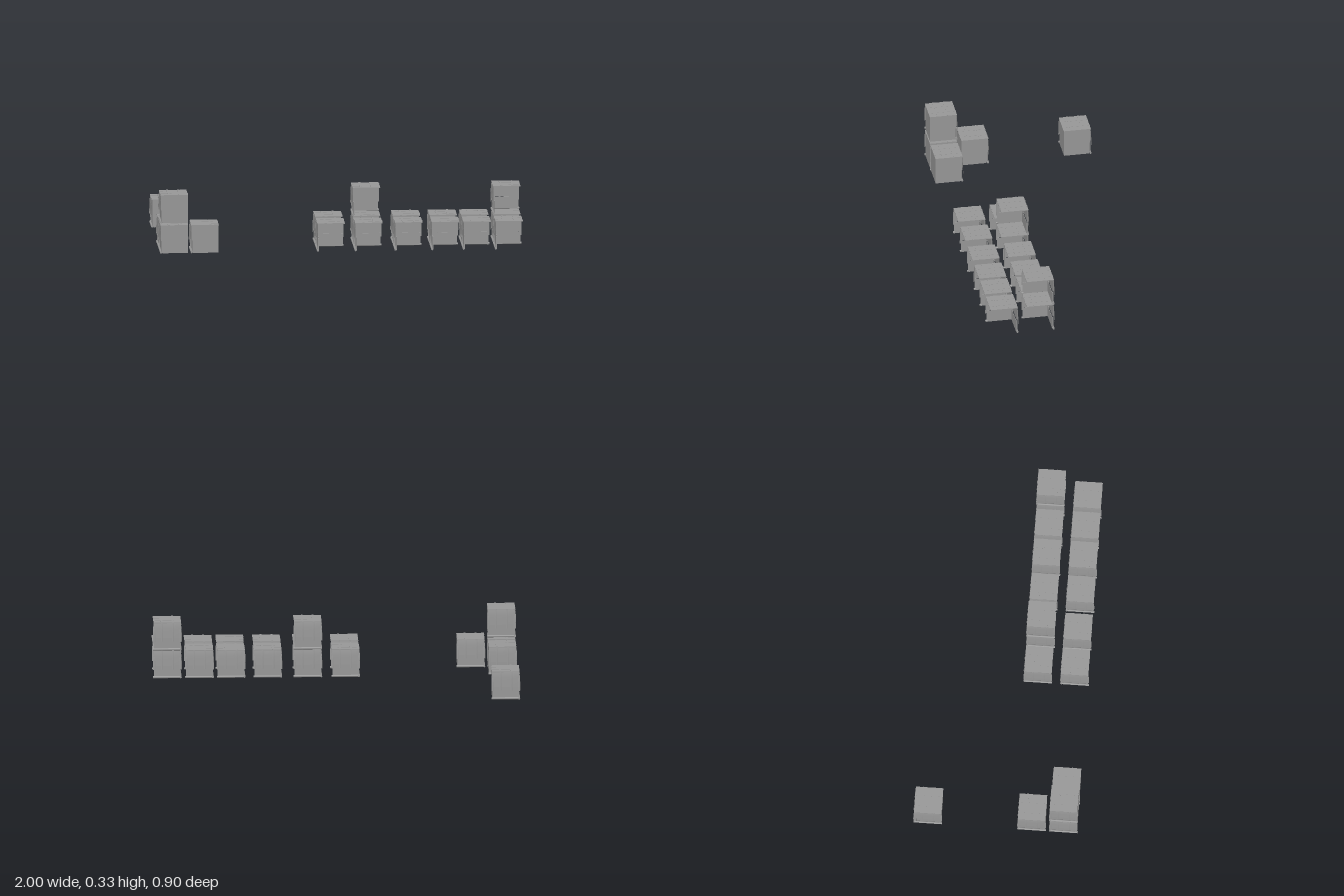
import * as THREE from 'three';

const material = new THREE.MeshStandardMaterial({ color: 0x989898, side: THREE.DoubleSide });
const H = 0.073; // half width of a crate
const TOP = 0.155; // height of the crate body
const HEM = 0.072; // height of the lower edge of the sheet
const INSET = 0.006; // depth of the recess below the sheet

function add(parent, name, geometry, x = 0, y = 0, z = 0) {
  const mesh = new THREE.Mesh(geometry, material);
  mesh.name = name;
  mesh.position.set(x, y, z);
  parent.add(mesh);
}

// Sheet hanging from the top edge, bulging a little and flaring to its hem
function hangingSheet(width, top, bottom, offset) {
  const g = new THREE.PlaneGeometry(width, top - bottom, 4, 5);
  const p = g.attributes.position;
  for (let i = 0; i < p.count; i++) {
    // 0 at the top edge, 1 at the hem
    const t = THREE.MathUtils.clamp(0.5 - p.getY(i) / (top - bottom), 0, 1);
    const across = p.getX(i) / (width / 2);
    const flare = 0.006 * Math.sqrt(t) * (1 - 0.25 * across * across);
    const spread = 0.95 + 0.05 * Math.min(1, t * 2);
    p.setXYZ(i, -p.getX(i) * spread, top - t * (top - bottom), -H - offset - flare);
  }
  g.computeVertexNormals();
  return g;
}

// Geometries shared by every crate
const wall = new THREE.BoxGeometry(2 * H, TOP - HEM, 0.002);
const post = new THREE.BoxGeometry(0.01, HEM, 0.003);
const lowerPanel = new THREE.BoxGeometry(2 * H - 0.01, HEM - 0.004, 0.002);
const sheet = hangingSheet(0.156, TOP + 0.002, HEM, 0);
const baseRail = new THREE.CylinderGeometry(0.006, 0.006, 0.156, 8).rotateZ(Math.PI / 2);
const strap = hangingSheet(0.011, TOP + 0.003, 0.052, 0.0025);
const sheetCorner = hangingSheet(0.012, 0.135, 0.05, 0.001);
const body = new THREE.BoxGeometry(2 * H, TOP - HEM, 2 * H);
const lowerBody = new THREE.BoxGeometry(2 * H - INSET, HEM - 0.002, 2 * H - INSET);
const topSheet = new THREE.BoxGeometry(0.151, 0.004, 0.151);
const topStrap = new THREE.BoxGeometry(0.011, 0.002, 0.153);
const crossStrap = new THREE.BoxGeometry(0.153, 0.002, 0.011);

// One covered side, made facing -z and turned into place
function coveredSide(angle) {
  const side = new THREE.Group();
  side.name = 'coveredSide';
  add(side, 'wall', wall, 0, (TOP + HEM) / 2, -H + 0.001);
  add(side, 'sheet', sheet);
  add(side, 'lowerPanel', lowerPanel, 0, HEM / 2 + 0.002, -H + INSET);
  add(side, 'baseRail', baseRail, 0, 0.0065, -H);
  for (const s of [-1, 1]) {
    add(side, 'cornerPost', post, s * (H - 0.005), HEM / 2 + 0.001, -H + 0.0015);
    add(side, 'strap', strap, s * 0.03);
    add(side, 'sheetCorner', sheetCorner, s * 0.072);
  }
  side.rotation.y = angle;
  return side;
}

// Covered crate; an open one has only its top, back and right sides
function crate(open) {
  const group = new THREE.Group();
  group.name = open ? 'openCrate' : 'closedCrate';
  if (!open) {
    add(group, 'body', body, 0.001, (TOP + HEM) / 2, 0.001);
    add(group, 'lowerBody', lowerBody, 0.001 + INSET / 2, HEM / 2 + 0.001, 0.001 + INSET / 2);
  }
  add(group, 'topSheet', topSheet, 0, TOP + 0.001, 0);
  for (const p of [-0.03, 0.03]) {
    add(group, 'topStrap', topStrap, p, TOP + 0.003, 0);
    add(group, 'topStrap', crossStrap, 0, TOP + 0.0028, p);
  }
  group.add(coveredSide(0), coveredSide(Math.PI / 2));
  return group;
}

export function createModel() {
  const model = new THREE.Group();
  model.name = 'crateStacks';
  const place = (open, x, y, z) => {
    const c = crate(open);
    c.position.set(x, y, z);
    model.add(c);
  };

  // Closed crates: one standing alone, and a small stack
  place(false, -0.918, 0, -0.371);
  place(false, -0.918, 0, 0.199);
  place(false, -0.918, 0, 0.374);
  place(false, -0.75, 0, 0.374);
  place(false, -0.918, 0.168, 0.374);

  // Two rows of open crates, two of them with a second layer
  for (const x of [-0.058, 0.149, 0.368, 0.569, 0.742, 0.918]) {
    for (const z of [0.173, 0.374]) place(true, x, 0, z);
  }
  for (const x of [0.149, 0.918]) place(true, x, 0.157, 0.173);
  return model;
}
